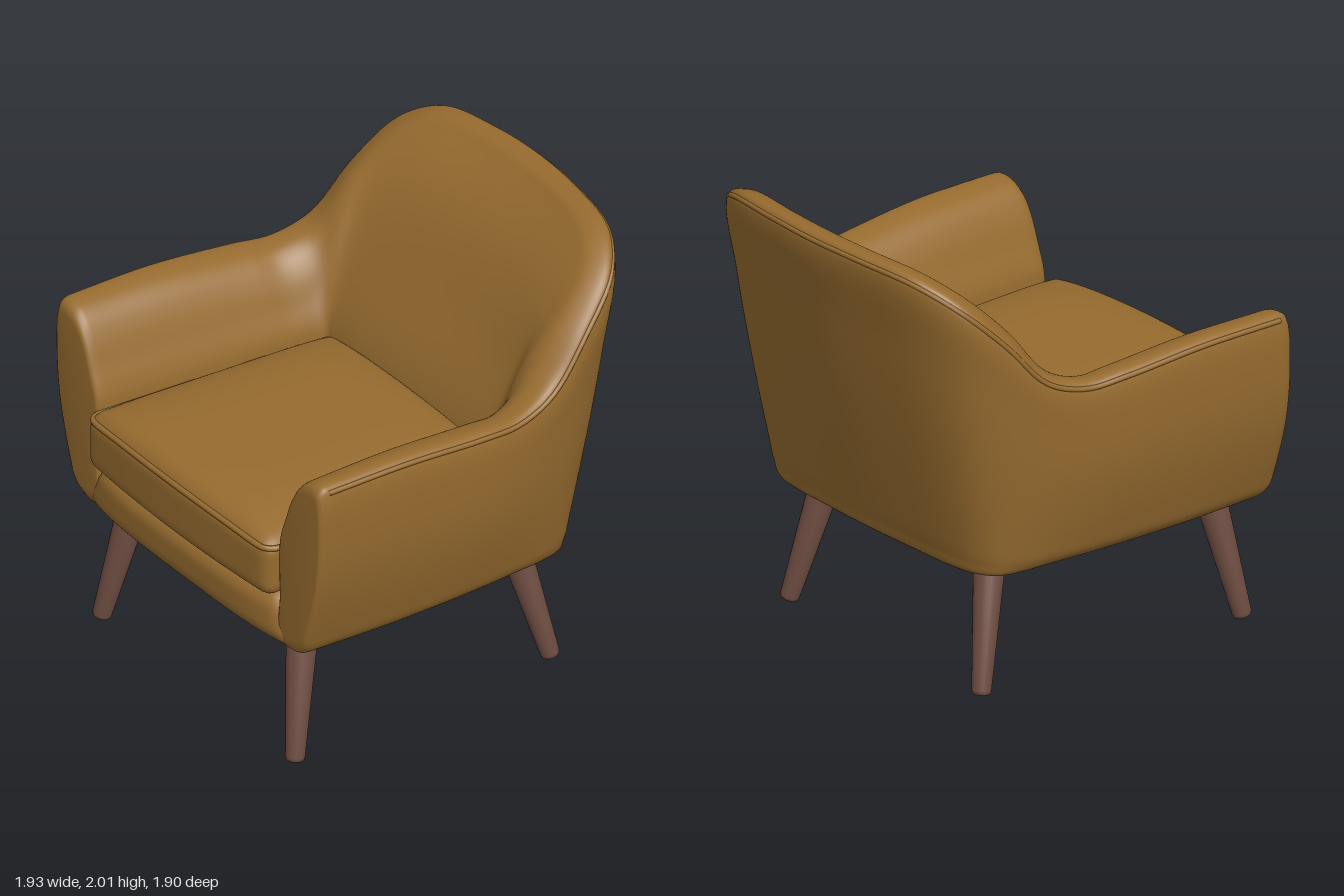
import * as THREE from 'three';
import { mergeVertices } from 'three/addons/utils/BufferGeometryUtils.js';

const V = (x, y, z) => new THREE.Vector3(x, y, z);
const lerp = THREE.MathUtils.lerp;
const clamp = THREE.MathUtils.clamp;

// Wall stations from arm front to middle of the back:
// outer rim x, y, z | outer bottom x, z | inner rim x, z | inner bottom x, z | bulge
const STATIONS = [
  [0.955, 1.46, 0.81, 0.76, 0.81, 0.79, 0.81, 0.65, 0.81, 1],
  [0.955, 1.46, 0.40, 0.775, 0.40, 0.775, 0.40, 0.63, 0.40, 1],
  [0.94, 1.43, 0.00, 0.765, 0.00, 0.755, 0.00, 0.61, 0.00, 1],
  [0.915, 1.42, -0.20, 0.75, -0.25, 0.745, -0.15, 0.60, -0.14, 0.9],
  [0.885, 1.485, -0.39, 0.74, -0.42, 0.735, -0.29, 0.585, -0.22, 0.7],
  [0.85, 1.69, -0.58, 0.71, -0.52, 0.715, -0.45, 0.57, -0.245, 0.45],
  [0.77, 1.87, -0.76, 0.63, -0.575, 0.66, -0.62, 0.53, -0.25, 0.25],
  [0.60, 1.968, -0.87, 0.50, -0.60, 0.52, -0.73, 0.40, -0.25, 0.17],
  [0.30, 1.995, -0.925, 0.25, -0.61, 0.27, -0.785, 0.20, -0.25, 0.14],
  [0.00, 2.00, -0.945, 0.00, -0.615, 0.00, -0.80, 0.00, -0.25, 0.14],
];
const FLOOR = 0.567;

// Closed cross-section of the wall at one station
function sectionKeys([ox, oy, oz, bx, bz, ix, iz, jx, jz, bulge]) {
  const outer = (f, extra) => {
    const h = f + bulge * extra;
    return V(lerp(bx, ox, h), lerp(FLOOR, oy - 0.05, f), lerp(bz, oz, h));
  };
  const rim = (f, y) => V(lerp(ox, ix, f), y, lerp(oz, iz, f));
  const inner = (f, h) => V(lerp(jx, ix, h), lerp(1.08, oy - 0.05, f), lerp(jz, iz, h));
  return [
    V(jx, FLOOR + 0.01, jz), V(bx, FLOOR, bz),
    outer(0.05, 0.27), outer(0.15, 0.36), outer(0.49, 0.43), outer(0.77, 0.27), outer(1, 0),
    rim(0.14, oy), rim(0.65, oy - 0.008), inner(1, 1),
    inner(0.78, 0.66), inner(0.45, 0.35), V(jx, 1.08, jz), V(jx, 0.8, jz),
  ];
}

// Splines that run from one arm front, around the back, to the other
function wallRails() {
  const half = STATIONS.map(sectionKeys);
  const mirrored = half.slice(0, -1).reverse().map(s => s.map(p => V(-p.x, p.y, p.z)));
  const all = [...half, ...mirrored];
  return all[0].map((_, k) => new THREE.CatmullRomCurve3(all.map(s => s[k])));
}

function wallGeometry(rails) {
  const U = 108, N = 84, rings = [];
  for (let i = 0; i <= U; i++) {
    const keys = rails.map(r => r.getPoint(i / U));
    const loop = new THREE.CatmullRomCurve3(keys, true);
    rings.push(Array.from({ length: N }, (_, j) => loop.getPoint(j / N)));
  }
  // Rounded, closed arm fronts
  const cap = ring => {
    const c = ring.reduce((a, p) => a.add(p), V(0, 0, 0)).divideScalar(N);
    return [[0.99, 0.02], [0.965, 0.038], [0.92, 0.05], [0.85, 0.055], [0.4, 0.058], [0, 0.058]].map(([s, dz]) =>
      ring.map(p => V(lerp(c.x, p.x, s), lerp(c.y, p.y, s), p.z + dz)));
  };
  const loops = [...cap(rings[0]).reverse(), ...rings, ...cap(rings[U])];
  const pos = [], idx = [];
  loops.forEach((ring, i) => ring.forEach((p, j) => {
    pos.push(p.x, p.y, p.z);
    if (i === loops.length - 1) return;
    const a = i * N + j, b = i * N + (j + 1) % N;
    idx.push(a, a + N, b + N, a, b + N, b);
  }));
  const g = new THREE.BufferGeometry();
  g.setAttribute('position', new THREE.Float32BufferAttribute(pos, 3));
  g.setIndex(idx);
  g.computeVertexNormals();
  return g;
}

// Rounded box with fine faces, bent by a rule
function softBox(w, h, d, r, bend) {
  let g = new THREE.BoxGeometry(w, h, d, 44, 14, 44);
  g.deleteAttribute('normal');
  g.deleteAttribute('uv');
  g = mergeVertices(g);
  const p = g.attributes.position, v = V(0, 0, 0), q = V(0, 0, 0);
  for (let i = 0; i < p.count; i++) {
    v.fromBufferAttribute(p, i);
    q.set(clamp(v.x, r - w / 2, w / 2 - r), clamp(v.y, r - h / 2, h / 2 - r), clamp(v.z, r - d / 2, d / 2 - r));
    const off = v.clone().sub(q);
    if (off.lengthSq() > 0) v.copy(q).add(off.setLength(r));
    bend(v);
    p.setXYZ(i, v.x, v.y, v.z);
  }
  g.computeVertexNormals();
  return g;
}

// Seat cushion: narrower at the back, bowed at the front, crowned on top
const CUSHION = { w: 1.32, h: 0.26, d: 1.22 };
function bendCushion(v) {
  const nx = v.x / (CUSHION.w / 2), nz = v.z / (CUSHION.d / 2);
  const up = clamp(v.y / (CUSHION.h / 2), 0, 1);
  v.x *= lerp(0.9, 1, (nz + 1) / 2);
  v.y += up * 0.055 * (1 - nx ** 6) * (1 - nz ** 6) + up * 0.022 * (1 - nx * nx);
  if (nz > 0) v.z += 0.03 * nz * (1 - nx * nx);
  return v;
}

// Base: sides flare toward the floor, draw in toward the back, front bows out
function bendBase(v) {
  const down = clamp(0.5 - v.y / 0.23, 0, 1), front = clamp(v.z / 1.42 + 0.5, 0, 1);
  v.z -= 0.06 * front * (v.x / 0.775) ** 4;
  v.x *= lerp(0.84, 1, down) * lerp(0.9, 1, front);
  return v;
}

function legGeometry() {
  const profile = [[0, 0], [0.03, 0], [0.038, 0.006], [0.042, 0.02], [0.07, 0.6], [0, 0.6]];
  return new THREE.LatheGeometry(profile.map(([x, y]) => new THREE.Vector2(x, y)), 24);
}

export function createModel() {
  const chair = new THREE.Group();
  chair.name = 'armchair';
  const fabric = new THREE.MeshStandardMaterial({ color: 0x966b2f });
  fabric.name = 'mustard upholstery';
  const wood = new THREE.MeshStandardMaterial({ color: 0x6d4c41 });
  wood.name = 'brown wood';

  const add = (name, geometry, material, x = 0, y = 0, z = 0) => {
    const m = new THREE.Mesh(geometry, material);
    m.name = name;
    m.position.set(x, y, z);
    chair.add(m);
    return m;
  };

  // Arms and back in one wrapped shell, with a seam along the outer rim
  const rails = wallRails();
  add('armsAndBack', wallGeometry(rails), fabric);
  const seam = new THREE.CatmullRomCurve3(
    Array.from({ length: 61 }, (_, i) => rails[6].getPoint(i / 60).lerp(rails[7].getPoint(i / 60), 0.5)));
  add('rimPiping', new THREE.TubeGeometry(seam, 120, 0.012, 8), fabric);

  // Base and cushion
  add('seatBase', softBox(1.55, 0.24, 1.43, 0.085, bendBase), fabric, 0, 0.68, 0.2);
  add('seatCushion', softBox(CUSHION.w, CUSHION.h, CUSHION.d, 0.06, bendCushion), fabric, 0, 0.93, 0.31);

  // Piping around the cushion's top edge
  const edge = [], hw = CUSHION.w / 2 - 0.008, hd = CUSHION.d / 2 - 0.008, r = 0.06;
  [[1, 1], [-1, 1], [-1, -1], [1, -1]].forEach(([sx, sz], q) => {
    for (let k = 0; k <= 4; k++) {
      const a = (q + k / 4) * Math.PI / 2;
      edge.push(V(sx * (hw - r) + r * Math.cos(a), 0.105, sz * (hd - r) + r * Math.sin(a)));
    }
    // Points along the straight side that follows
    for (const f of [0.6, 0.2, -0.2, -0.6]) {
      edge.push(q % 2 ? V(sx * hw, 0.105, sz * f * hd) : V(sx * f * hw, 0.105, sz * hd));
    }
  });
  const cushionSeam = new THREE.CatmullRomCurve3(edge.map(bendCushion), true);
  add('cushionPiping', new THREE.TubeGeometry(cushionSeam, 200, 0.013, 8, true), fabric, 0, 0.93, 0.31);

  // Splayed tapered legs: foot position, then top position
  const leg = legGeometry();
  for (const side of [1, -1]) {
    for (const [name, fx, fz, tx, tz] of [['front', 0.7, 0.81, 0.605, 0.705], ['back', 0.632, -0.54, 0.53, -0.41]]) {
      const m = add(name + (side > 0 ? 'LeftLeg' : 'RightLeg'), leg, wood, side * fx, 0.005, fz);
      m.quaternion.setFromUnitVectors(V(0, 1, 0), V(side * (tx - fx), 0.57, tz - fz).normalize());
    }
  }
  return chair;
}
